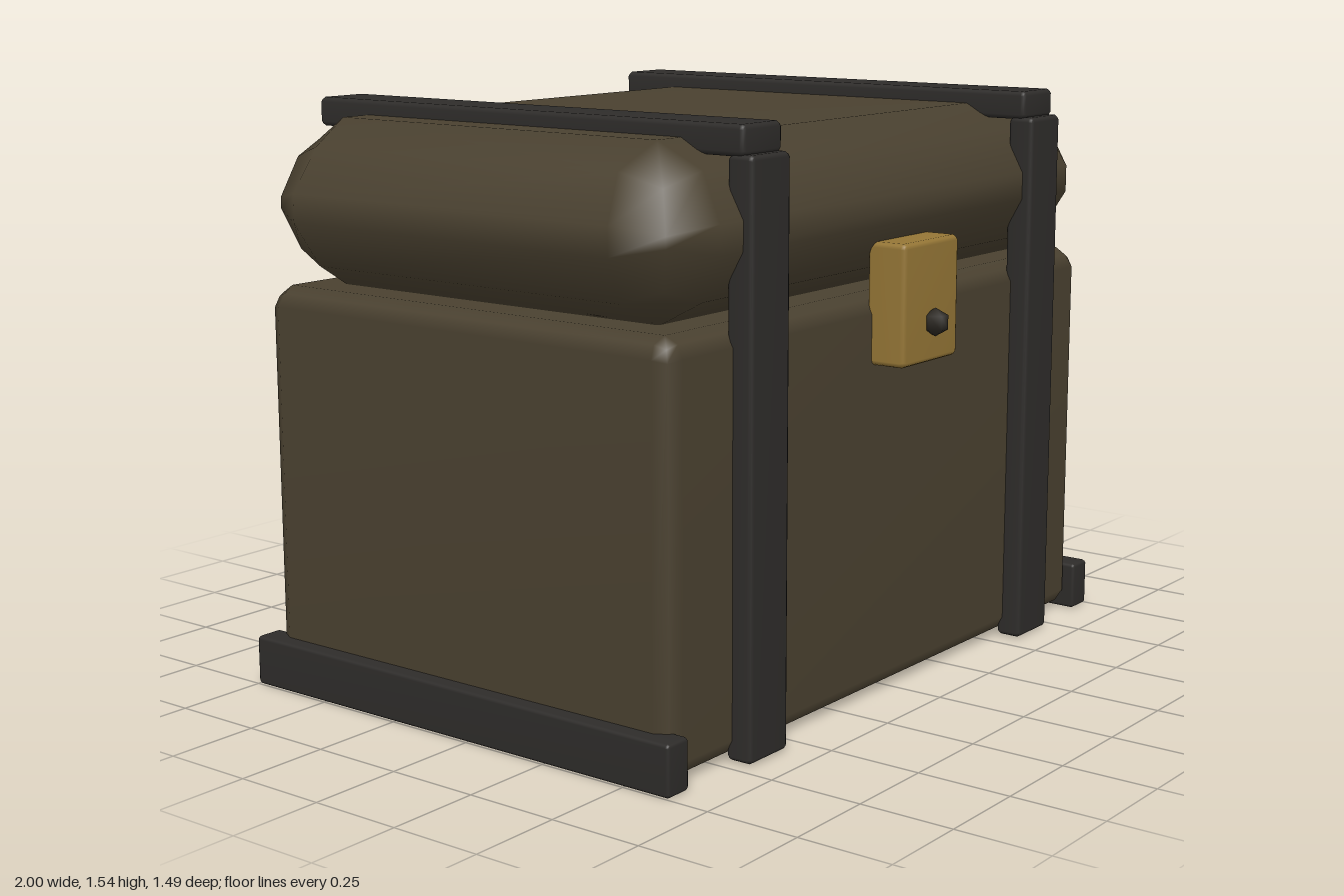
import * as THREE from 'three';
import { mergeVertices } from 'three/addons/utils/BufferGeometryUtils.js';

const paint = (color) => new THREE.MeshStandardMaterial({ color });
const hide = paint(0x4a4130);
const strapMat = paint(0x2e2c2a);
const brass = paint(0x957636);
const knobMat = paint(0x2a2620);

// Low-poly bevelled box between two corners: a 3x3x3 grid whose vertices
// are pushed out along their direction from each corner's centre.
function softBox(min, max, r) {
  const box = new THREE.BoxGeometry(1, 1, 1, 3, 3, 3);
  box.deleteAttribute('normal');
  box.deleteAttribute('uv');
  const geo = mergeVertices(box);
  const lo = new THREE.Vector3(...min);
  const hi = new THREE.Vector3(...max);
  const centre = lo.clone().add(hi).multiplyScalar(0.5);
  const reach = r * 0.9045; // outward distance of the flat faces
  const inner = hi.clone().sub(lo).multiplyScalar(0.5).subScalar(reach);
  const pos = geo.attributes.position;
  const p = new THREE.Vector3();
  for (let i = 0; i < pos.count; i++) {
    p.fromBufferAttribute(pos, i);
    const side = new THREE.Vector3(Math.sign(p.x), Math.sign(p.y), Math.sign(p.z));
    p.normalize().multiplyScalar(r).add(side.multiply(inner)).add(centre);
    pos.setXYZ(i, p.x, p.y, p.z);
  }
  geo.computeVertexNormals();
  return geo;
}

export function createModel() {
  const model = new THREE.Group();
  model.name = 'chest';
  const add = (name, geometry, material) => {
    const mesh = new THREE.Mesh(geometry, material);
    mesh.name = name;
    model.add(mesh);
    return mesh;
  };

  // Main box and padded lid
  add('body', softBox([-0.957, 0.005, -0.72], [0.957, 1.067, 0.608], 0.085), hide);
  add('lid', softBox([-0.985, 1.063, -0.75], [0.985, 1.497, 0.637], 0.3), hide);

  // Mirrored straps and base runners
  for (const [side, s] of [['left', 1], ['right', -1]]) {
    const x = 0.638 * s;
    add(side + 'FrontStrap', softBox([x - 0.078, 0.003, 0.588], [x + 0.078, 1.465, 0.663], 0.02), strapMat);
    add(side + 'TopStrap', softBox([x - 0.078, 1.46, -0.75], [x + 0.078, 1.535, 0.637], 0.02), strapMat);
    add(side + 'Runner', softBox([0.96 * s - 0.04, 0, -0.75], [0.96 * s + 0.04, 0.132, 0.637], 0.015), strapMat);
  }

  // Clasp plate with its knob
  add('clasp', softBox([-0.13, 0.885, 0.59], [0.13, 1.2, 0.704], 0.022), brass);
  const knob = add('claspKnob', new THREE.SphereGeometry(0.037, 6, 3), knobMat);
  knob.position.set(0, 0.99, 0.715);

  return model;
}
